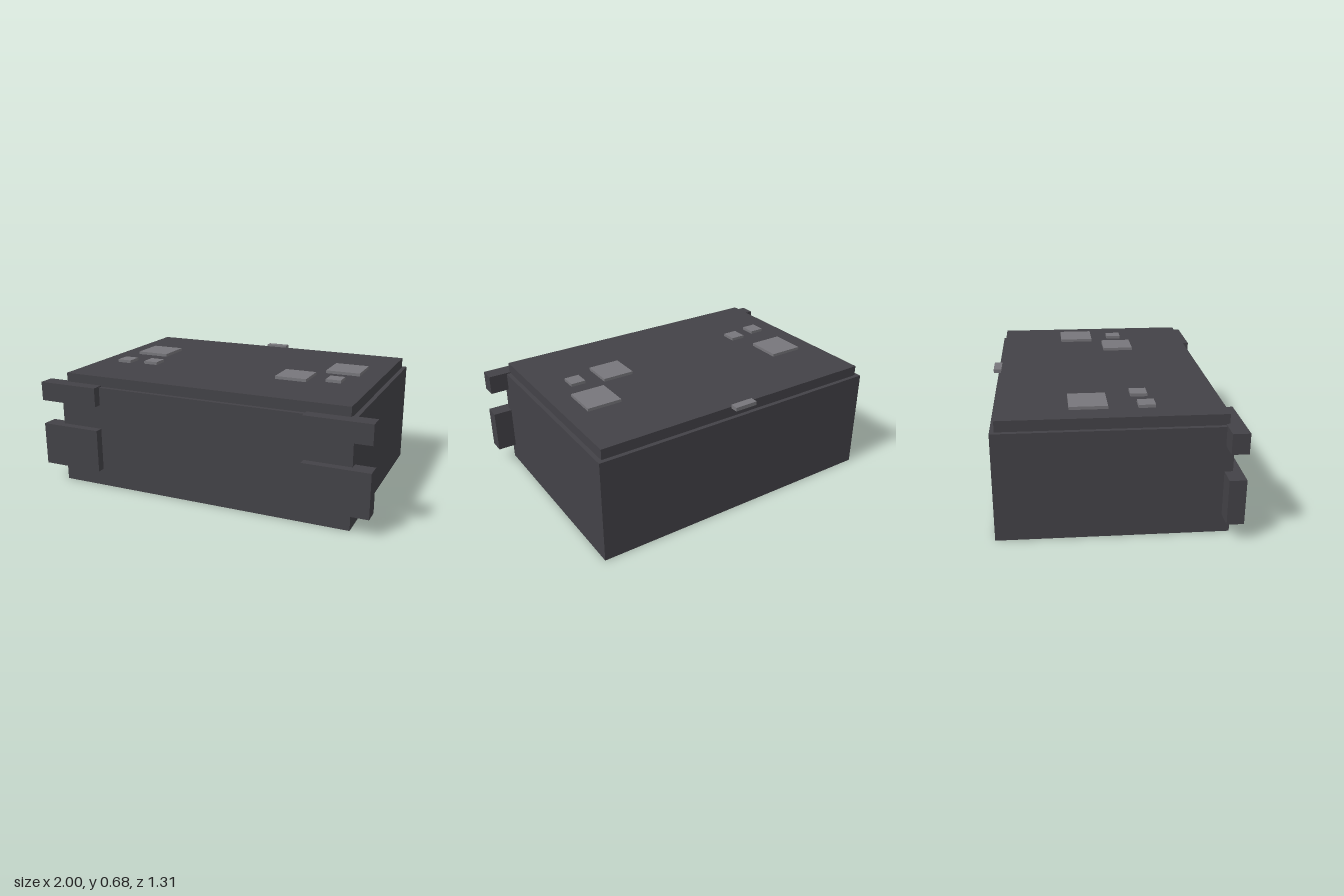
import * as THREE from 'three';

export function createModel() {
  const group = new THREE.Group();
  const darkGrey = new THREE.MeshStandardMaterial({ color: 0x434247 });
  darkGrey.name = 'darkGrey';
  const lightGrey = new THREE.MeshStandardMaterial({ color: 0x77767b });
  lightGrey.name = 'lightGrey';

  // Box given by its limits on each axis
  function box(name, material, [x0, x1], [y0, y1], [z0, z1]) {
    const mesh = new THREE.Mesh(new THREE.BoxGeometry(x1 - x0, y1 - y0, z1 - z0), material);
    mesh.position.set((x0 + x1) / 2, (y0 + y1) / 2, (z0 + z1) / 2);
    mesh.name = name;
    group.add(mesh);
  }

  // Main case and the slightly smaller lid
  box('body', darkGrey, [-0.89, 0.89], [0, 0.605], [-0.636, 0.608]);
  box('lid', darkGrey, [-0.865, 0.865], [0.605, 0.665], [-0.612, 0.583]);

  // Corner brackets on the front, overhanging the sides
  for (const [side, x] of [['left', [0.628, 1]], ['right', [-1, -0.628]]]) {
    box(side + 'LowerBracket', darkGrey, x, [0.103, 0.355], [0.563, 0.655]);
    box(side + 'UpperBracket', darkGrey, x, [0.5, 0.612], [0.563, 0.655]);
  }

  // Latch on the rear edge of the lid
  box('rearLatch', lightGrey, [-0.069, 0.069], [0.655, 0.677], [-0.655, -0.609]);

  // Raised pads on the lid
  const pads = [
    ['rightLargePad', [-0.743, -0.54], [-0.235, -0.03]],
    ['leftLargePad', [0.537, 0.74], [-0.235, -0.03]],
    ['leftMediumPad', [0.31, 0.498], [0.034, 0.219]],
    ['leftSmallPad', [0.597, 0.685], [0.078, 0.169]],
    ['rightOuterSmallPad', [-0.743, -0.655], [0.129, 0.219]],
    ['rightInnerSmallPad', [-0.57, -0.481], [0.106, 0.197]],
  ];
  for (const [name, x, z] of pads) box(name, lightGrey, x, [0.66, 0.682], z);

  return group;
}
